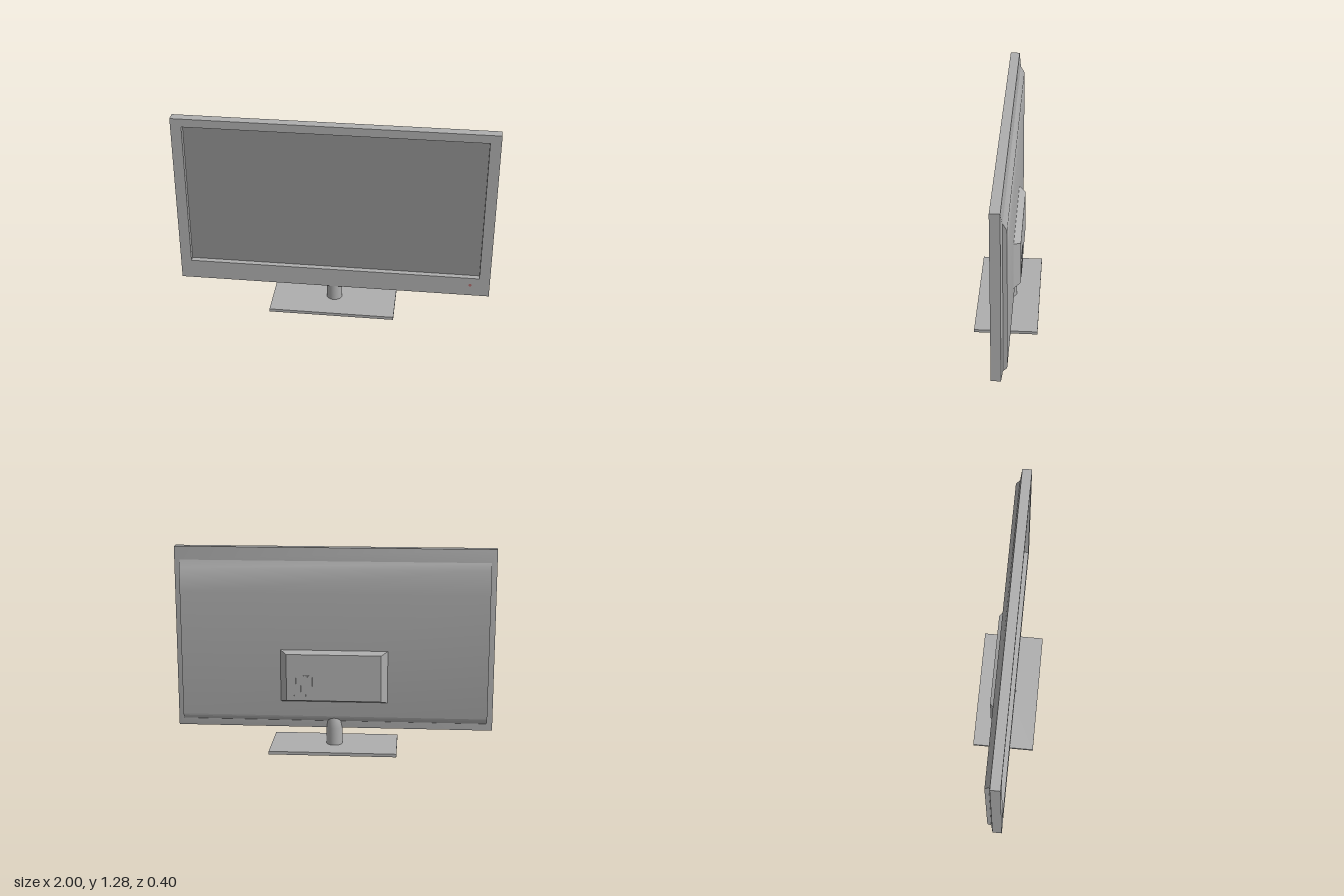
import * as THREE from 'three';
import { toCreasedNormals } from 'three/addons/utils/BufferGeometryUtils.js';

const casing = new THREE.MeshStandardMaterial({ color: 0xaeaeae });
const glass = new THREE.MeshStandardMaterial({ color: 0x919191 });
const red = new THREE.MeshStandardMaterial({ color: 0xae6a6a });

// Block whose front and back faces are different rectangles; face = [halfWidth, bottom, top, z]
function taperedBlock(front, back) {
  const g = new THREE.BoxGeometry(2, 1, 1);
  const p = g.attributes.position;
  for (let i = 0; i < p.count; i++) {
    const [w, bottom, top, z] = p.getZ(i) > 0 ? front : back;
    p.setXYZ(i, Math.sign(p.getX(i)) * w, p.getY(i) > 0 ? top : bottom, z);
  }
  return toCreasedNormals(g, 0.5);
}

function rectangle(Type, halfWidth, bottom, top) {
  return new Type([
    new THREE.Vector2(-halfWidth, bottom), new THREE.Vector2(halfWidth, bottom),
    new THREE.Vector2(halfWidth, top), new THREE.Vector2(-halfWidth, top),
  ]);
}

export function createModel() {
  const model = new THREE.Group();
  model.name = 'television';
  const add = (name, geometry, parent = model, material = casing) => {
    const mesh = new THREE.Mesh(geometry, material);
    mesh.name = name;
    parent.add(mesh);
    return mesh;
  };

  // Stand
  add('standBase', new THREE.BoxGeometry(0.8, 0.02, 0.4)).position.y = 0.01;
  const neck = [[0.05, 0.02], [0.05, 0.13], [0.047, 0.16], [0.042, 0.19], [0.036, 0.205], [0, 0.207]];
  add('standNeck', new THREE.LatheGeometry(neck.map(([r, y]) => new THREE.Vector2(r, y)), 32));

  // Front frame with the screen opening
  const bezel = rectangle(THREE.Shape, 1, 0.127, 1.282);
  bezel.holes.push(rectangle(THREE.Path, 0.932, 0.257, 1.228));
  const bezelGeometry = new THREE.ExtrudeGeometry(bezel, { depth: 0.06, bevelEnabled: false });
  add('frame', bezelGeometry.translate(0, 0, -0.01));

  // Recessed screen
  const screen = new THREE.BoxGeometry(1.864, 0.971, 0.025);
  add('screen', screen, model, glass).position.set(0, 0.7425, 0.0025);

  // Power light, flush with the frame
  add('powerLight', new THREE.CircleGeometry(0.01, 20), model, red).position.set(0.875, 0.205, 0.0506);

  // Shallow back rim
  add('backRim', taperedBlock([1, 0.127, 1.282, -0.01], [0.965, 0.18, 1.2, -0.02]));

  // Rear housing: a side profile (z, y) extruded across the width, its ends sunk into the rim
  const profile = new THREE.Shape([
    [0.01, 1.275], [0.01, 0.169], [-0.0145, 0.169], [-0.043, 0.2], [-0.045, 0.21],
    [-0.045, 1], [-0.045, 1.155], [-0.0198, 1.2], [-0.009, 1.275],
  ].map(([z, y]) => new THREE.Vector2(z, y)));
  const housing = new THREE.ExtrudeGeometry(profile, { depth: 1.93, bevelEnabled: false });
  // Turn the profile so that its x axis becomes z
  housing.translate(0, 0, -0.965).rotateY(-Math.PI / 2);
  add('rearHousing', toCreasedNormals(housing, 0.6));

  // Connection box on the back, with bevelled sides
  const box = new THREE.Group();
  box.name = 'connectionBox';
  model.add(box);
  add('boxCover', taperedBlock([0.338, 0.306, 0.64, -0.044], [0.297, 0.323, 0.62, -0.088]), box);

  // Fine vertical vent slats
  const slats = 14;
  for (let i = 0; i < slats; i++) {
    const slat = add('ventSlat', new THREE.BoxGeometry(0.005, 0.135, 0.006), box);
    slat.position.set(0.115 + (i * 0.135) / (slats - 1), 0.418, -0.088);
  }

  return model;
}
